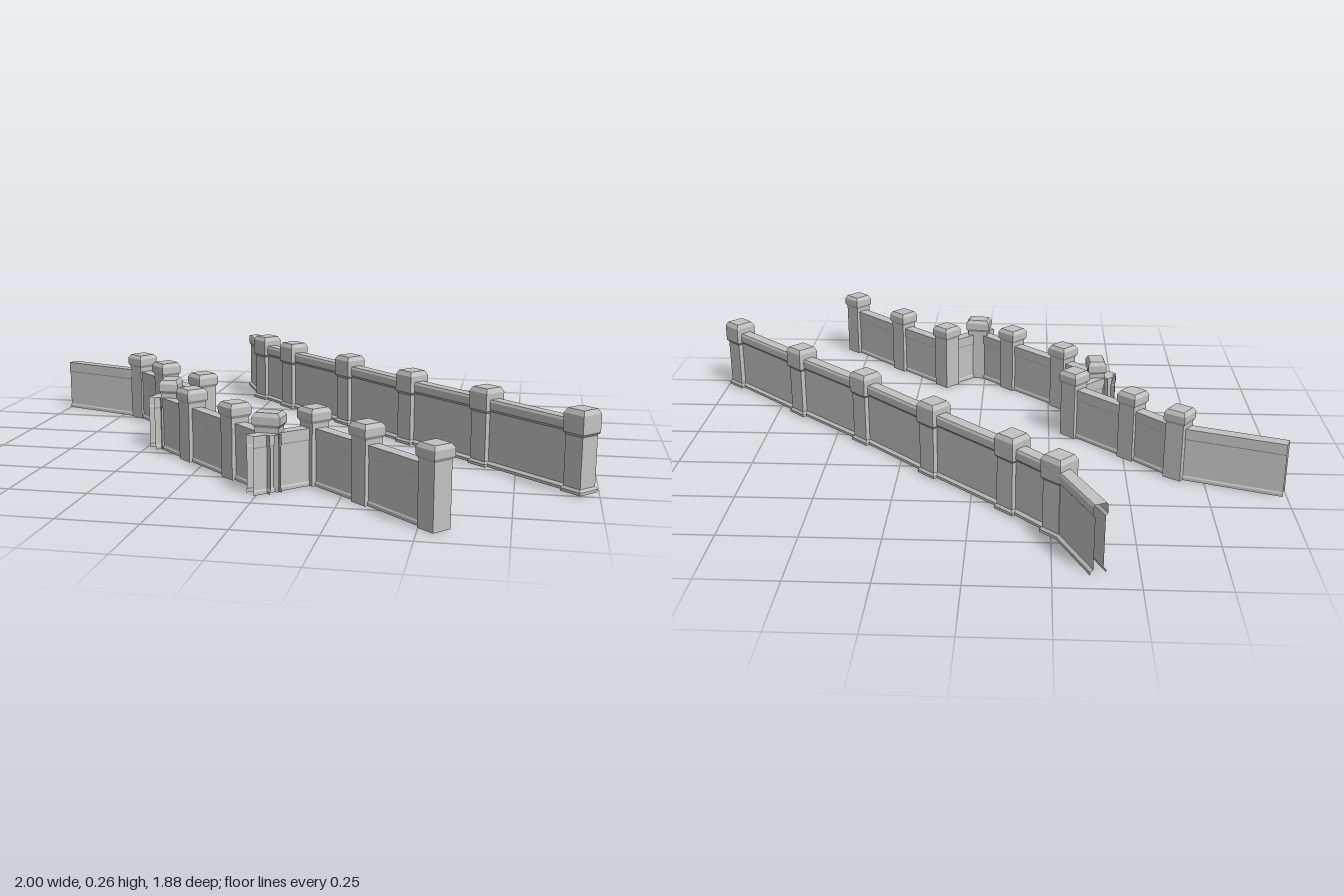
import * as THREE from 'three';

// Half cross-sections as [half width, height], bottom to top
const TALL_WALL = [[0.025, 0.005], [0.025, 0.014], [0.016, 0.022], [0.016, 0.185], [0.023, 0.193], [0.023, 0.217], [0.019, 0.225]];
const LOW_WALL = [[0.021, 0], [0.021, 0.01], [0.018, 0.015], [0.018, 0.142], [0.02, 0.146], [0.02, 0.18]];
const TALL_PILLAR = [[0, 0.005], [0.039, 0.005], [0.039, 0.014], [0.033, 0.022], [0.033, 0.18], [0.039, 0.188], [0.039, 0.245], [0.031, 0.26], [0, 0.26]];
const LOW_PILLAR = [[0, 0], [0.032, 0], [0.032, 0.195], [0.038, 0.205], [0.038, 0.228], [0.03, 0.241], [0, 0.241]];

// Open-ended wall shell running from a to b, each [x, z]
function wall(name, a, b, half, material) {
  const section = [...half, ...half.slice().reverse().map(([w, y]) => [-w, y])];
  const dx = b[0] - a[0], dz = b[1] - a[1], len = Math.hypot(dx, dz);
  const pos = [];
  for (let i = 0; i < section.length - 1; i++) {
    const [w0, y0] = section[i], [w1, y1] = section[i + 1];
    const p = [[0, y0, w0], [len, y0, w0], [len, y1, w1], [0, y1, w1]];
    for (const k of [0, 1, 2, 0, 2, 3]) pos.push(...p[k]);
  }
  const geo = new THREE.BufferGeometry();
  geo.setAttribute('position', new THREE.Float32BufferAttribute(pos, 3));
  geo.computeVertexNormals();
  const mesh = new THREE.Mesh(geo, material);
  mesh.name = name;
  mesh.position.set(a[0], 0, a[1]);
  mesh.rotation.y = -Math.atan2(dz, dx);
  return mesh;
}

// Square pillar with a bevelled cap; angle is in degrees in plan
function pillar(name, [x, z, angle = 43, sx = 1, sz = 1], half, material) {
  const points = half.map(([w, y]) => new THREE.Vector2(w * Math.SQRT2, y));
  const geo = new THREE.LatheGeometry(points, 4).rotateY(Math.PI / 4).toNonIndexed();
  geo.computeVertexNormals();
  const mesh = new THREE.Mesh(geo, material);
  mesh.name = name;
  mesh.position.set(x, 0, z);
  mesh.rotation.y = -THREE.MathUtils.degToRad(angle);
  mesh.scale.set(sx, 1, sz);
  return mesh;
}

function run(name, walls, pillars, wallSection, pillarSection, material) {
  const group = new THREE.Group();
  group.name = name;
  walls.forEach(([a, b]) => group.add(wall('wall', a, b, wallSection, material)));
  pillars.forEach((p) => group.add(pillar('pillar', p, pillarSection, material)));
  return group;
}

export function createModel() {
  const stone = new THREE.MeshStandardMaterial({ color: 0xc2c2c2, side: THREE.DoubleSide });
  stone.name = 'stone';
  const model = new THREE.Group();
  model.name = 'parapets';

  // Straight tall parapet with one angled end
  const tall = [[-0.27, -0.69], [-0.13, -0.545], [0.13, -0.3], [0.385, -0.05], [0.65, 0.19], [0.94, 0.46]];
  const tallWalls = tall.slice(1).map((p, i) => [tall[i], p]);
  tallWalls.unshift([[-0.38, -0.93], tall[0]]);
  model.add(run('tallParapet', tallWalls, tall, TALL_WALL, TALL_PILLAR, stone));

  // Low parapet with a recessed bay; its cross walls run past the corners
  const lowWalls = [
    [[-0.994, -0.4], [-0.67, -0.285]],
    [[-0.67, -0.285], [-0.525, -0.135]],
    [[-0.525, -0.135], [-0.335, 0.045]],
    [[-0.335, 0.045], [-0.475, 0.194]],
    [[-0.472, 0.138], [-0.3, 0.305]],
    [[-0.3, 0.305], [-0.11, 0.485]],
    [[-0.11, 0.485], [0.055, 0.645]],
    [[0.145, 0.505], [-0.02, 0.664]],
    [[0.145, 0.505], [0.33, 0.675]],
    [[0.33, 0.675], [0.545, 0.885]],
  ];
  const lowPillars = [
    [-0.665, -0.28, 35], [-0.525, -0.135], [-0.335, 0.045],
    [-0.415, 0.165, -5, 0.84, 1.12], [-0.3, 0.305], [-0.11, 0.485],
    [0.025, 0.598, 7, 1.17, 0.84], [0.145, 0.505], [0.33, 0.675], [0.543, 0.882],
  ];
  model.add(run('lowParapet', lowWalls, lowPillars, LOW_WALL, LOW_PILLAR, stone));
  return model;
}
